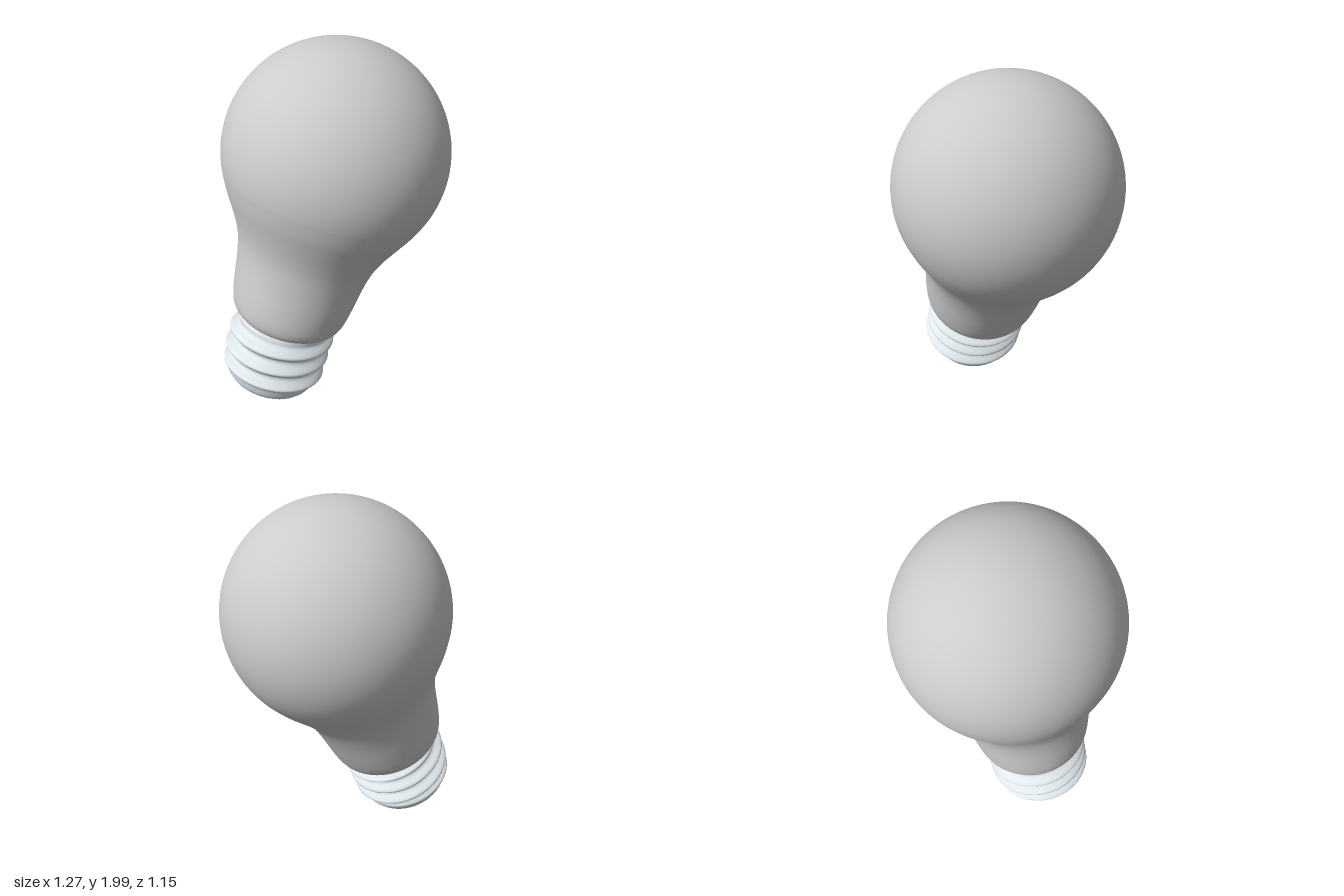
import * as THREE from 'three';
import { mergeVertices } from 'three/addons/utils/BufferGeometryUtils.js';

const toPoints = (list) => list.map(([r, y]) => new THREE.Vector2(r, y));

function addMesh(parent, name, geometry, color) {
  const mesh = new THREE.Mesh(geometry, new THREE.MeshStandardMaterial({ color }));
  mesh.name = name;
  parent.add(mesh);
}

// Glass envelope: neck spline running into a spherical top (origin = sphere centre)
function glassGeometry() {
  const R = 0.575;
  const neck = new THREE.SplineCurve(toPoints([
    [0.235, -0.985], [0.272, -0.973], [0.303, -0.938], [0.321, -0.885], [0.336, -0.79],
    [0.352, -0.66], [0.374, -0.55], [0.408, -0.46], [0.452, -0.375], [0.5, -0.288], [0.538, -0.203],
  ])).getPoints(50);
  const start = Math.atan2(-0.203, 0.538);
  for (let i = 1; i <= 36; i++) {
    const a = start + (Math.PI / 2 - start) * i / 36;
    neck.push(new THREE.Vector2(Math.max(0, R * Math.cos(a)), R * Math.sin(a)));
  }
  return new THREE.LatheGeometry(neck, 72);
}

// Screw base: plain sleeve whose wall is pushed out along a right-handed helix
function screwGeometry() {
  const pitch = 0.105, firstRidge = -1.062, height = 0.042;
  const wall = toPoints([[0.15, -1.414], [0.168, -1.409], [0.19, -1.398], [0.222, -1.38],
    [0.243, -1.355], [0.255, -1.33], [0.262, -1.31]]);
  for (let i = 0; i <= 80; i++) {
    const y = -1.3 + 0.34 * i / 80;
    wall.push(new THREE.Vector2(0.248 + 0.016 * (1 - THREE.MathUtils.smoothstep(y, -1.3, -1.25)), y));
  }
  let geometry = new THREE.LatheGeometry(wall, 72);
  const pos = geometry.attributes.position;
  for (let i = 0; i < pos.count; i++) {
    const x = pos.getX(i), y = pos.getY(i), z = pos.getZ(i);
    const phase = 2 * Math.PI * (y - firstRidge) / pitch - Math.atan2(x, z);
    const fade = THREE.MathUtils.smoothstep(y, -1.32, -1.26) * (1 - THREE.MathUtils.smoothstep(y, -1.035, -0.995));
    const r = Math.hypot(x, z);
    const k = (r + height * fade * Math.pow(0.5 + 0.5 * Math.cos(phase), 1.2)) / r;
    pos.setXYZ(i, x * k, y, z * k);
  }
  // weld the seam so that the thread shades smoothly all round
  geometry.deleteAttribute('uv');
  geometry.deleteAttribute('normal');
  geometry = mergeVertices(geometry, 1e-5);
  geometry.computeVertexNormals();
  return geometry;
}

// Black insulator with the contact at the end
function contactGeometry() {
  const curve = new THREE.SplineCurve(toPoints([
    [0, -1.474], [0.06, -1.473], [0.1, -1.468], [0.12, -1.452], [0.136, -1.432], [0.164, -1.41], [0.15, -1.4],
  ]));
  return new THREE.LatheGeometry(curve.getPoints(30), 48);
}

export function createModel() {
  const model = new THREE.Group();
  model.name = 'lightBulb';

  // All parts share one leaning axis
  const bulb = new THREE.Group();
  bulb.name = 'leaningBulb';
  addMesh(bulb, 'glass', glassGeometry(), 0xcccccc);
  addMesh(bulb, 'screwBase', screwGeometry(), 0xe0e8ec);
  addMesh(bulb, 'contact', contactGeometry(), 0x0c0c0c);
  const axis = new THREE.Vector3(0.336, 0.941, -0.038).normalize();
  bulb.quaternion.setFromUnitVectors(new THREE.Vector3(0, 1, 0), axis);
  bulb.position.set(0.057, 1.425, 0);
  model.add(bulb);
  return model;
}
